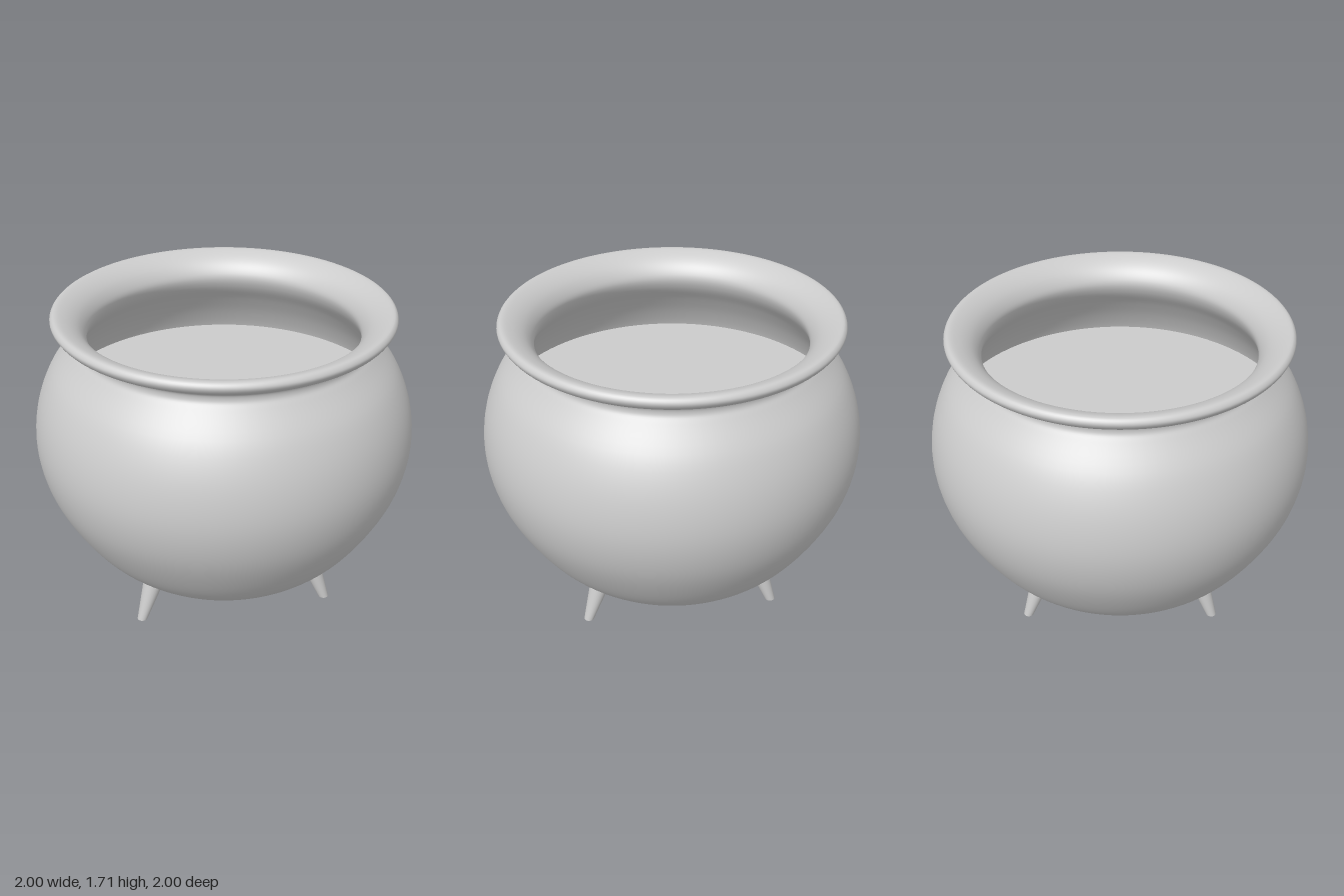
import * as THREE from 'three';

const material = new THREE.MeshStandardMaterial({ color: 0xcccccc });

function addMesh(parent, name, geometry) {
  const mesh = new THREE.Mesh(geometry, material);
  mesh.name = name;
  parent.add(mesh);
  return mesh;
}

export function createModel() {
  const model = new THREE.Group();
  model.name = 'cauldron';

  // Pot: one smooth profile up the belly, over the flared lip and down the inner wall
  const profile = [
    [0, 0.18], [0.2, 0.185], [0.45, 0.223], [0.6, 0.295], [0.75, 0.425], [0.88, 0.615],
    [0.967, 0.81], [1, 1.01], [0.975, 1.21], [0.9, 1.39], [0.79, 1.53], [0.765, 1.565],
    [0.768, 1.598], [0.81, 1.625], [0.86, 1.652], [0.877, 1.685], [0.858, 1.709],
    [0.8, 1.695], [0.74, 1.655], [0.706, 1.605], [0.7, 1.57], [0.72, 1.515],
    [0.79, 1.42], [0.86, 1.31], [0.91, 1.2], [0.92, 1.15],
  ].map(([r, y]) => new THREE.Vector3(r, y, 0));
  const curve = new THREE.CatmullRomCurve3(profile);
  addMesh(model, 'pot', new THREE.LatheGeometry(curve.getPoints(125), 96));

  // Flat liquid surface inside the pot
  const liquid = addMesh(model, 'liquid', new THREE.CircleGeometry(0.912, 96));
  liquid.rotation.x = -Math.PI / 2;
  liquid.position.y = 1.2;

  // Three tapered legs, sheared outward so the feet stay level
  const height = 0.33;
  const legGeometry = new THREE.CylinderGeometry(0.073, 0.028, height, 32);
  legGeometry.translate(0, height / 2, 0);
  const shear = new THREE.Matrix4().set(
    1, -0.41, 0, 0.603,
    0, 1, 0, 0,
    0, 0, 1, 0,
    0, 0, 0, 1,
  );
  legGeometry.applyMatrix4(shear);
  ['leftLeg', 'backRightLeg', 'frontRightLeg'].forEach((name, i) => {
    addMesh(model, name, legGeometry).rotation.y = (i * 2 * Math.PI) / 3;
  });

  return model;
}
